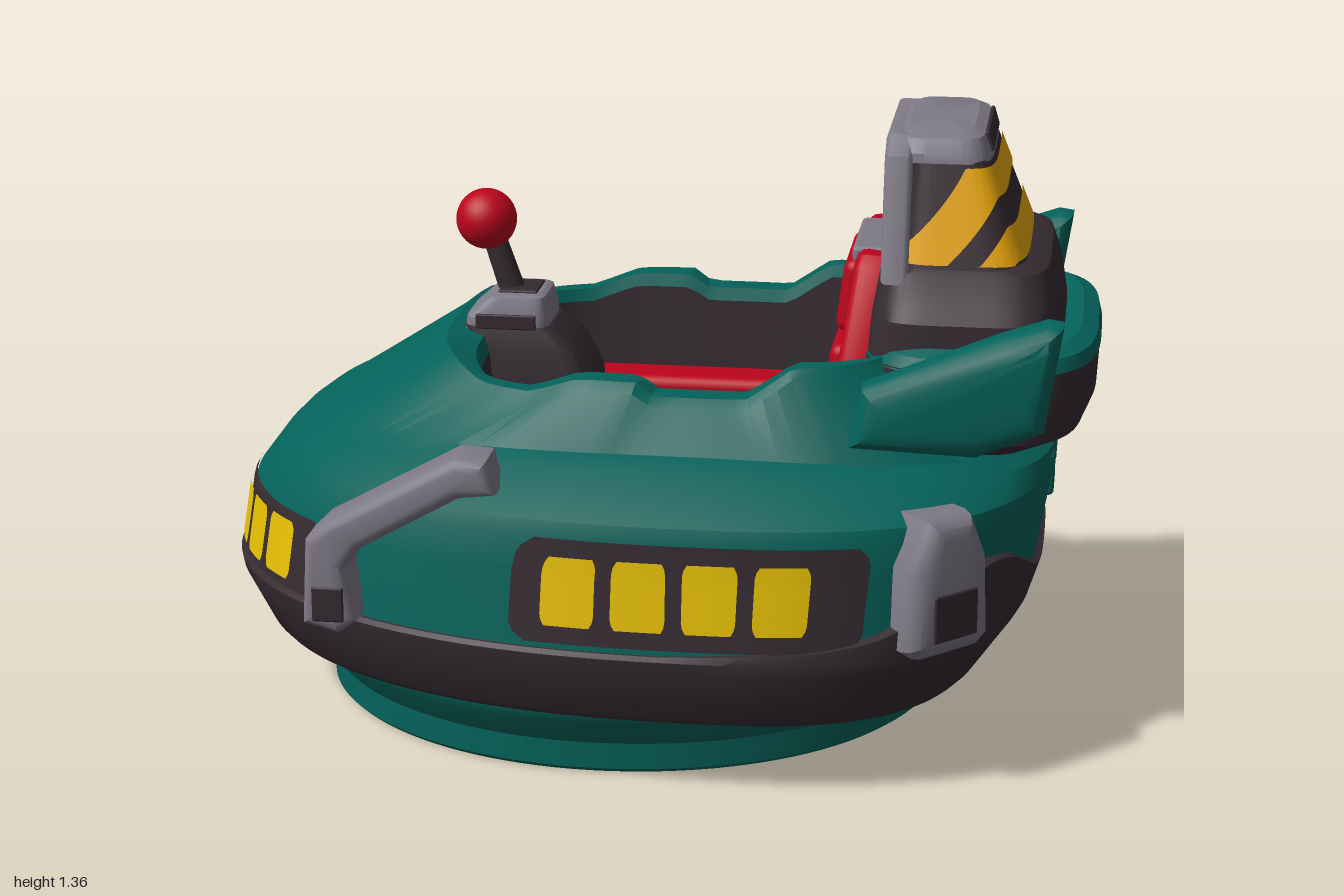
import * as THREE from 'three';
import { toCreasedNormals } from 'three/addons/utils/BufferGeometryUtils.js';
import { RoundedBoxGeometry } from 'three/addons/geometries/RoundedBoxGeometry.js';

const paint = (name, color) => {
  const m = new THREE.MeshStandardMaterial({ color });
  m.name = name;
  return m;
};

// Unit rounded outline by true angle: a = 0 is the rear (+x), a = PI is the nose (-x)
function unit(a, nf, nr) {
  const c = Math.cos(a), s = Math.sin(a), n = c > 0 ? nr : nf;
  const r = Math.pow(Math.pow(Math.abs(c), n) + Math.pow(Math.abs(s), n), -1 / n);
  return [c * r, s * r];
}
function outline(a, x0, x1, hw, cx = (x0 + x1) / 2, nf = 2, nr = nf) {
  const [x, z] = unit(a, nf, nr);
  return [cx + x * (x > 0 ? x1 - cx : cx - x0), z * hw];
}

// Skin a grid of points; rows run upward, columns follow the outline angle
function skin(rows, cols, point, crease = 0.45) {
  const pos = [], idx = [];
  for (let j = 0; j <= rows; j++) for (let i = 0; i <= cols; i++) pos.push(...point(i / cols, j / rows, j));
  for (let j = 0; j < rows; j++) for (let i = 0; i < cols; i++) {
    const p = j * (cols + 1) + i, q = p + cols + 1;
    idx.push(p, q, p + 1, p + 1, q, q + 1);
  }
  const g = new THREE.BufferGeometry();
  g.setAttribute('position', new THREE.Float32BufferAttribute(pos, 3));
  g.setIndex(idx);
  return toCreasedNormals(g, crease);
}

// Closed loft through rings [y or y(a, x), x0, x1, halfWidth, own squareness]
const loft = (rings, cx, nf, nr) => skin(rings.length - 1, 112, (u, v, j) => {
  const a = u * Math.PI * 2, [y, x0, x1, hw, n] = rings[j];
  const [x, z] = outline(a, x0, x1, hw, cx, n ?? nf, n ?? nr);
  return [x, typeof y === 'function' ? y(a, x) : y, z];
});

// Point on the wall of a ring list at angle a and height y
function wallPoint(rings, a, y, cx, nf, nr, off) {
  let k = 0;
  while (k < rings.length - 2 && y > rings[k + 1][0]) k++;
  const t = (y - rings[k][0]) / (rings[k + 1][0] - rings[k][0]);
  const m = [1, 2, 3].map((i) => rings[k][i] + (rings[k + 1][i] - rings[k][i]) * t);
  const [x, z] = outline(a, m[0] - off, m[1] + off, m[2] + off, cx, nf, nr);
  return [x, y, z];
}

function extrude(points, depth, bevel, hole) {
  const s = new THREE.Shape(points.map((p) => new THREE.Vector2(...p)));
  if (hole) s.holes.push(new THREE.Path(hole.map((p) => new THREE.Vector2(...p))));
  const g = new THREE.ExtrudeGeometry(s, {
    depth: depth - 2 * bevel, bevelThickness: bevel, bevelSize: bevel, bevelOffset: -bevel, bevelSegments: 3,
  });
  g.translate(0, 0, bevel - depth / 2);
  return toCreasedNormals(g, 0.6);
}

export function createModel() {
  const root = new THREE.Group();
  const green = paint('teal paint', 0x04625a), dark = paint('dark trim', 0x352b31);
  const grey = paint('grey metal', 0x7e7a86), red = paint('red upholstery', 0xbc041c);
  const lampYellow = paint('lamp yellow', 0xecc404), stripeYellow = paint('stripe yellow', 0xe8a608);

  const add = (name, geo, mat, x = 0, y = 0, z = 0, parent = root) => {
    const m = new THREE.Mesh(geo, mat);
    m.name = name;
    m.position.set(x, y, z);
    parent.add(m);
    return m;
  };
  const box = (name, mat, w, h, d, x, y, z, r = 0.025, parent = root) =>
    add(name, new RoundedBoxGeometry(w, h, d, 3, r), mat, x, y, z, parent);

  // Skirt under the hull
  add('skirt', loft([
    [0, -0.08, -0.08, 0], [0, -0.78, 0.62, 0.635], [0.01, -0.79, 0.635, 0.645], [0.07, -0.79, 0.635, 0.645],
    [0.135, -0.84, 0.675, 0.69], [0.16, -0.855, 0.69, 0.7], [0.2, -0.855, 0.69, 0.7],
  ], -0.08, 2), green);

  // Dark bumper belt with a closed underside, rising at the rear corners
  const rise = (y) => (a) => {
    const b = Math.min(a, Math.PI * 2 - a);
    return y + 0.13 * Math.exp(-Math.pow((b - 0.66) / 0.26, 2)) + 0.04 * Math.max(0, Math.cos(a));
  };
  add('bumper', loft([
    [0.17, 0.1, 0.1, 0], [0.17, -0.92, 0.75, 0.745], [0.185, -0.935, 0.765, 0.755], [0.3, -0.995, 0.845, 0.79],
    [0.325, -1, 0.86, 0.792], [rise(0.335), -0.99, 0.88, 0.785], [rise(0.345), -0.94, 0.86, 0.75],
  ], 0.1, 2.2, 3), dark);

  // Hull wall, then deck up to the cockpit coaming
  const wall = [[0.32, -0.985, 0.855, 0.783], [0.5, -0.955, 0.885, 0.762], [0.58, -0.895, 0.9, 0.755], [0.61, -0.865, 0.9, 0.745]];
  add('hullWall', loft(wall, 0.1, 2.2, 2.8), green);
  const shoulder = (a) => 0.667 - 0.027 * Math.cos(2 * a);
  const profile = [[-0.6, 0.845], [-0.46, 0.85], [-0.36, 0.81], [-0.24, 0.81], [-0.13, 0.85], [0, 0.85], [0.04, 0.82],
    [0.24, 0.82], [0.34, 0.89], [0.7, 0.89]];
  const coaming = (a, x) => {
    let k = 0;
    while (k < profile.length - 2 && x > profile[k + 1][0]) k++;
    const [p, q] = [profile[k], profile[k + 1]];
    return p[1] + (q[1] - p[1]) * THREE.MathUtils.clamp((x - p[0]) / (q[0] - p[0]), 0, 1);
  };
  const lip = (a, x) => coaming(a, x) - 0.03;
  add('deck', loft([
    wall[3], [shoulder, -0.825, 0.9, 0.63], [(a) => shoulder(a) + 0.02, -0.79, 0.87, 0.575],
    [(a, x) => coaming(a, x) - 0.02, -0.52, 0.62, 0.515, 2.7], [coaming, -0.49, 0.6, 0.49, 3],
    [coaming, -0.41, 0.56, 0.425, 4.5], [lip, -0.395, 0.55, 0.415, 5],
  ], 0.1, 2.3, 2.8), green);
  add('cockpitLining', loft([[lip, -0.395, 0.55, 0.415, 5], [0.5, -0.37, 0.53, 0.395], [0.5, 0.1, 0.1, 0]], 0.1, 5), dark);

  // Round-cornered lamp strips laid on the hull wall
  const patch = (name, mat, a0, a1, y0, y1, off, round) => add(name, skin(12, 20, (u, v) => {
    const pinch = 1 - round * Math.pow(Math.max(0, Math.abs(2 * v - 1) - 0.66) / 0.34, 2);
    return wallPoint(wall, (a0 + a1) / 2 + (a1 - a0) * (u - 0.5) * pinch, y0 + (y1 - y0) * v, 0.1, 2.2, 2.8, off);
  }), mat);
  const angleAt = (x) => {
    const n = x > 0.1 ? 2.8 : 2.2, t = (x - 0.1) / (x > 0.1 ? 0.785 : 1.06);
    return Math.atan2(Math.pow(1 - Math.pow(Math.abs(t), n), 1 / n), t);
  };
  patch('noseLampFrame', dark, Math.PI - 0.75, Math.PI + 0.75, 0.34, 0.51, 0.007, 0.03);
  for (let i = 0; i < 9; i++) {
    const a = Math.PI + (i - 4) * 0.151;
    patch('noseLamp', lampYellow, a - 0.062, a + 0.062, 0.36, 0.492, 0.014, 0.18);
  }
  for (const s of [1, -1]) {
    const side = (name, mat, x0, x1, y0, y1, off, round) => {
      const a = [s * angleAt(x0), s * angleAt(x1)].sort((p, q) => p - q);
      patch(name, mat, a[0], a[1], y0, y1, off, round);
    };
    side('sideLampFrame', dark, -0.23, 0.525, 0.35, 0.577, 0.007, 0.08);
    for (let i = 0; i < 4; i++) side('sideLamp', lampYellow, -0.16 + i * 0.15, -0.045 + i * 0.15, 0.39, 0.54, 0.014, 0.16);

    // Bent grab bar beside the hood
    add('grabBar', extrude([[-0.7, 0.34], [-0.69, 0.53], [-0.65, 0.57], [-0.36, 0.73], [-0.29, 0.725], [-0.27, 0.65],
      [-0.35, 0.64], [-0.57, 0.515], [-0.6, 0.47], [-0.58, 0.35], [-0.62, 0.32]], 0.14, 0.025), grey, 0, 0, s * 0.65);
    add('grabBarFoot', new RoundedBoxGeometry(0.07, 0.08, 0.012, 2, 0.005), dark, -0.64, 0.39, s * 0.717);

    // Rear corner buffer, tapering upward, with a dark pad
    const buffer = new THREE.Group();
    buffer.name = 'cornerBuffer';
    buffer.position.set(0.637, 0.48, s * 0.597);
    buffer.rotation.y = s > 0 ? Math.PI / 4 : Math.PI * 0.75;
    add('bufferBlock', extrude([[-0.115, -0.13], [-0.08, -0.155], [0.08, -0.155], [0.115, -0.13], [0.105, 0.05], [0.06, 0.155],
      [-0.06, 0.155], [-0.105, 0.05]], 0.21, 0.045), grey, 0, 0, 0, buffer);
    add('bufferPad', new RoundedBoxGeometry(0.12, 0.105, 0.01, 2, 0.004), dark, 0, -0.06, 0.105, buffer);
    root.add(buffer);

    // Rear fin
    add('fin', extrude([[0.46, 0.735], [0.74, 0.725], [0.88, 0.785], [0.915, 1.02], [0.88, 1.025], [0.78, 0.99],
      [0.49, 0.87]], 0.14, 0.05), green, 0, 0, s * 0.5);
  }

  // Rear collar with its painted top, and the small catch below
  add('collar', loft([[0.69, 0.7, 0.7, 0], [0.69, 0.5, 0.88, 0.4], [0.72, 0.48, 0.96, 0.43], [0.78, 0.46, 0.985, 0.435],
    [0.88, 0.46, 0.99, 0.42]], 0.7, 3.4), dark);
  add('collarTop', loft([[0.875, 0.46, 0.992, 0.422], [0.905, 0.48, 0.985, 0.41], [0.92, 0.49, 0.95, 0.38], [0.9, 0.5, 0.88, 0.34]],
    0.7, 3.4), green);
  box('rearCatch', dark, 0.06, 0.045, 0.07, 0.91, 0.66, 0, 0.008);
  for (const s of [1, -1]) box('rearPanelRib', green, 0.03, 0.1, 0.13, 0.885, 0.58, s * 0.12, 0.012);

  // Tower behind the seat
  add('towerBase', loft([[0.85, 0.47, 0.92, 0.38], [0.97, 0.485, 0.9, 0.375], [1.0, 0.49, 0.895, 0.355],
    [1.065, 0.5, 0.875, 0.305], [1.08, 0.53, 0.84, 0.28], [1.08, 0.68, 0.68, 0]], undefined, 5), dark);
  const tower = [[1.06, 0.53, 0.835, 0.295], [1.3, 0.56, 0.74, 0.23]];
  add('tower', loft(tower, undefined, 5), dark);
  add('towerCap', loft([[1.295, 0.53, 0.743, 0.233], [1.315, 0.525, 0.737, 0.23], [1.345, 0.53, 0.725, 0.21],
    [1.358, 0.555, 0.7, 0.18], [1.358, 0.63, 0.63, 0]], undefined, 5), grey);
  const capPad = add('towerCapPad', new RoundedBoxGeometry(0.009, 0.045, 0.28, 2, 0.003), dark, 0.733, 1.328, 0);
  capPad.rotation.z = 0.3;

  // Hazard stripes: level at the back, sloping down along both sides
  const stripe = (y0, y1, delay) => add('hazardStripe', skin(4, 120, (u, v) => {
    const a = (u * 2 - 1) * 2.25, run = Math.max(0, 0.85 - unit(a, 5, 5)[0]);
    const low = Math.max(1.083, y0 - 0.14 * run), high = Math.max(low, y1 - 0.145 * Math.max(0, run - delay));
    const y = low + (high - low) * v, cx = 0.6825 - 0.0325 * (y - 1.06) / 0.24;
    return wallPoint(tower, a, y, cx, 5, 5, 0.006);
  }), stripeYellow);
  stripe(1.09, 1.163, 0);
  stripe(1.225, 1.288, 0.5);

  // Grey frame and vent slats on the tower front
  const frame = add('towerFrame', extrude([[-0.31, 1.04], [0.31, 1.04], [0.24, 1.31], [0.19, 1.35], [-0.19, 1.35], [-0.24, 1.31]],
    0.06, 0.012, [[-0.24, 1.07], [-0.175, 1.29], [0.175, 1.29], [0.24, 1.07]]), grey, 0.54, 0, 0);
  frame.rotation.y = Math.PI / 2;
  for (let i = 0; i < 4; i++) box('ventSlat', dark, 0.04, 0.025, 0.42 - i * 0.035, 0.535, 1.1 + i * 0.05, 0, 0.008);

  // Seat cushions
  box('seatFrontCushion', red, 0.49, 0.14, 0.48, -0.085, 0.54, 0);
  box('seatRearCushion', red, 0.22, 0.15, 0.46, 0.275, 0.55, 0);
  for (const s of [1, -1]) box('seatSideCushion', red, 0.73, 0.16, 0.125, 0.035, 0.56, s * 0.31);

  // Leaning backrest
  const back = new THREE.Group();
  back.name = 'backrest';
  back.position.set(0.46, 0.78, 0);
  back.rotation.z = -0.13;
  const shell = add('backShell', extrude([[-0.34, -0.28], [0.34, -0.28], [0.33, -0.03], [0.22, 0.27], [0.19, 0.295],
    [-0.19, 0.295], [-0.22, 0.27], [-0.33, -0.03]], 0.1, 0.025), red, 0, 0, 0, back);
  shell.rotation.y = Math.PI / 2;
  box('backLowerPad', red, 0.06, 0.24, 0.4, -0.045, -0.04, 0, 0.025, back);
  box('backUpperPad', red, 0.06, 0.17, 0.3, -0.045, 0.18, 0, 0.025, back);
  root.add(back);
  box('headrestPlate', grey, 0.09, 0.04, 0.28, 0.48, 1.06, 0, 0.012);

  // Control stick on its pedestal
  add('pedestal', loft([[0.48, -0.44, -0.14, 0.135], [0.72, -0.44, -0.16, 0.12], [0.8, -0.45, -0.2, 0.115],
    [0.85, -0.46, -0.26, 0.1], [0.85, -0.36, -0.36, 0]], undefined, 7), dark);
  add('pedestalCap', loft([[0.84, -0.46, -0.265, 0.1], [0.87, -0.455, -0.265, 0.1], [0.915, -0.405, -0.275, 0.085],
    [0.92, -0.39, -0.285, 0.075], [0.92, -0.34, -0.34, 0]], undefined, 7), grey);
  box('pedestalCapPad', dark, 0.09, 0.009, 0.11, -0.34, 0.921, 0, 0.004);
  for (const s of [1, -1]) box('pedestalSidePad', dark, 0.14, 0.035, 0.009, -0.36, 0.862, s * 0.1, 0.004);
  const stick = add('stick', new THREE.CylinderGeometry(0.026, 0.03, 0.18, 20), dark, -0.385, 0.985, 0);
  stick.rotation.z = 0.32;
  add('stickBall', new THREE.SphereGeometry(0.07, 28, 20), red, -0.42, 1.08, 0);
  return root;
}
